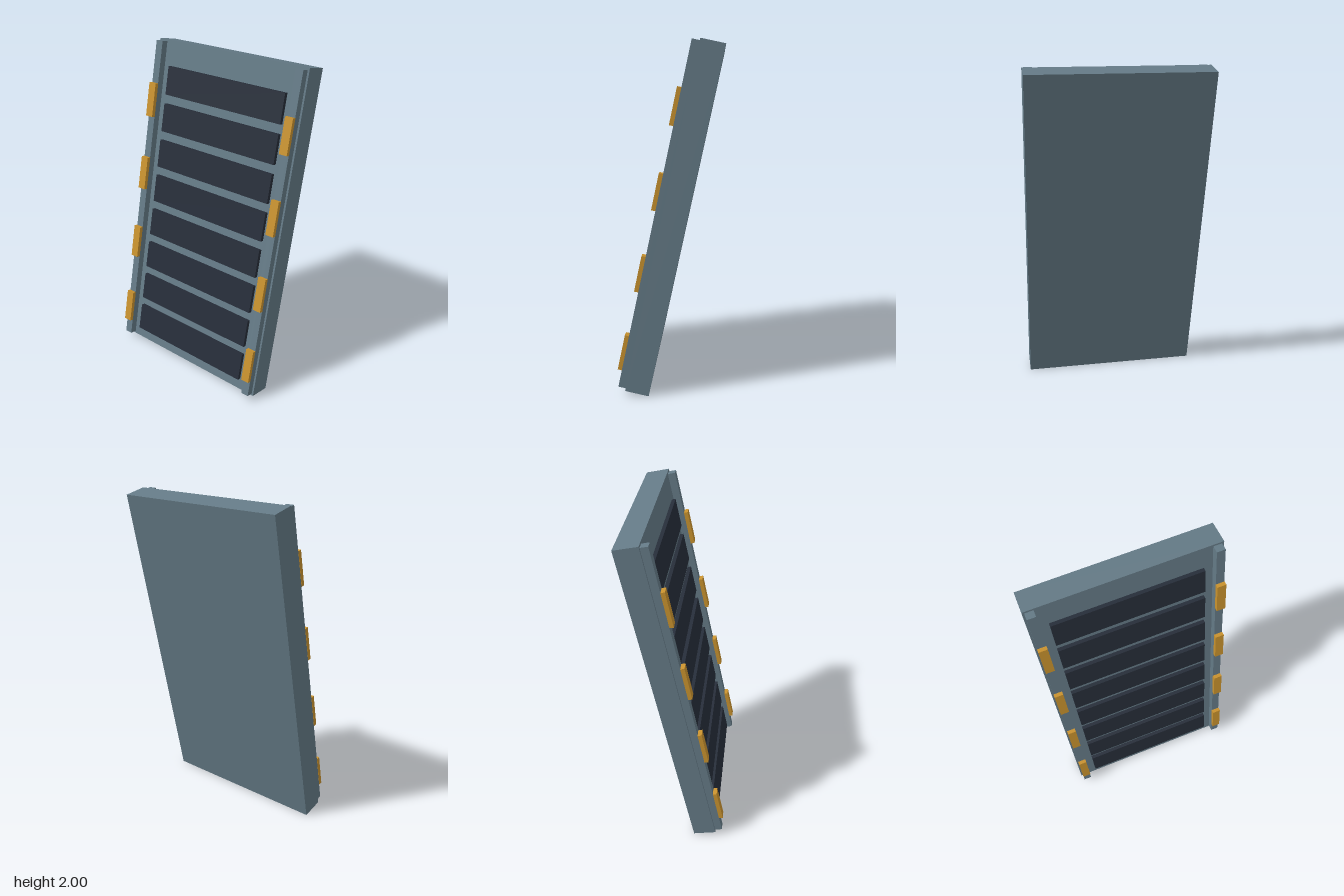
import * as THREE from 'three';

const slate = new THREE.MeshStandardMaterial({ name: 'slate', color: 0x647a86 });
const charcoal = new THREE.MeshStandardMaterial({ name: 'charcoal', color: 0x262d39 });
const ochre = new THREE.MeshStandardMaterial({ name: 'ochre', color: 0xc9922e });

export function createModel() {
  const model = new THREE.Group();
  model.name = 'armorPlate';

  // Everything is built upright, then leaned as one piece
  const leaning = new THREE.Group();
  leaning.name = 'leaningPlate';
  leaning.position.set(0.02, 1, 0);
  leaning.rotation.z = -THREE.MathUtils.degToRad(12);
  model.add(leaning);

  // Box lying between two depths behind the plate centre
  const add = (name, material, near, far, length, width, y, z) => {
    const mesh = new THREE.Mesh(new THREE.BoxGeometry(far - near, length, width), material);
    mesh.name = name;
    mesh.position.set(-(near + far) / 2, y, z);
    leaning.add(mesh);
  };

  // Main slab
  add('slab', slate, -0.069, 0.069, 2.015, 1.08, 0, 0);

  // Recess panels stacked up the back face
  for (let i = 0; i < 8; i++) {
    add('panel', charcoal, 0.069, 0.092, 0.175, 0.856, -0.85 + i * 0.231, 0);
  }

  // Edge rails, each carrying four clamps
  for (const side of [-1, 1]) {
    add('rail', slate, 0.069, 0.113, 1.992, 0.049, 0, side * 0.504);
    for (let i = 0; i < 4; i++) {
      add('clamp', ochre, 0.113, 0.137, 0.21, 0.052, -0.788 + i * 0.474, side * 0.504);
    }
  }
  return model;
}
